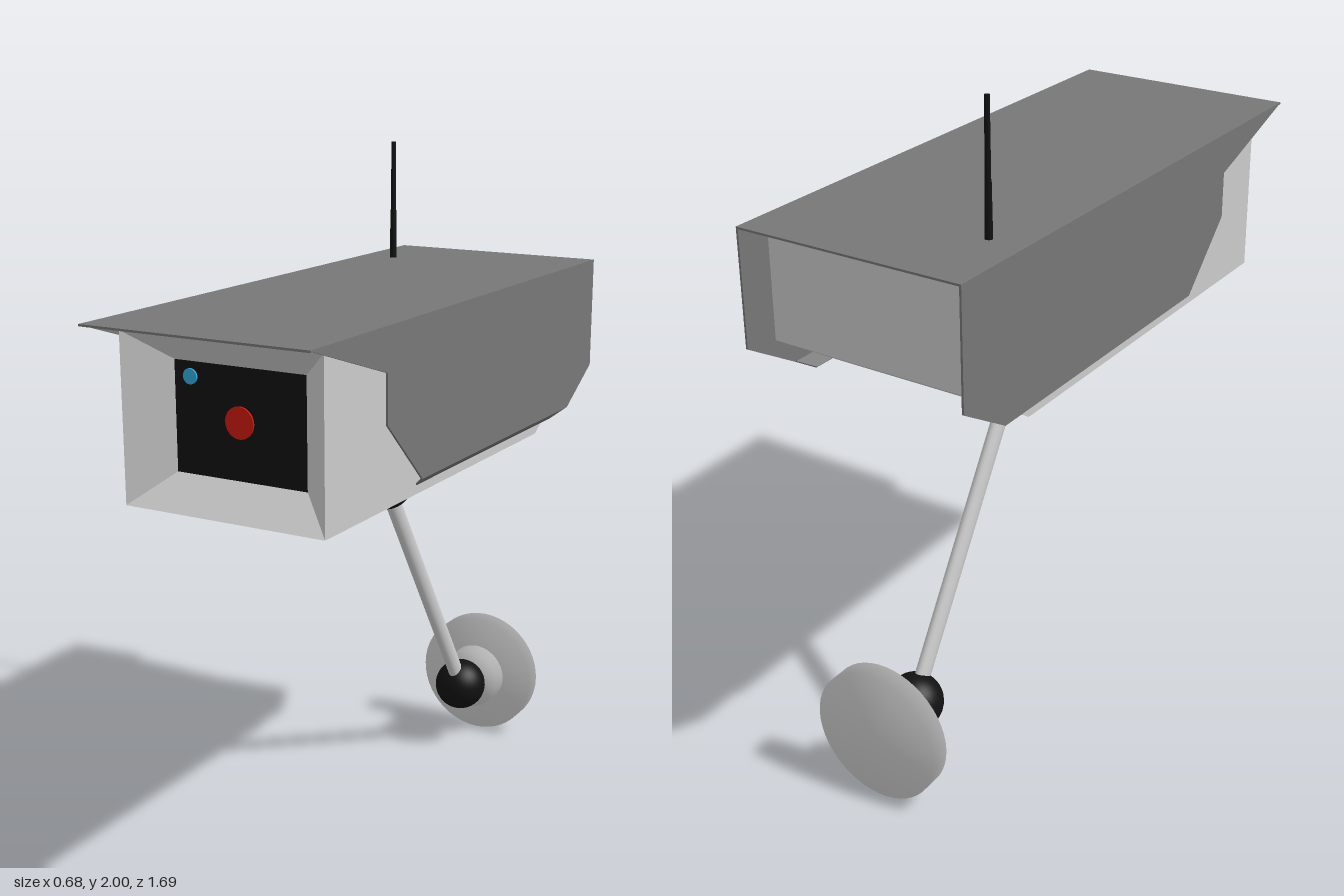
import * as THREE from 'three';

const mat = (color, side = THREE.FrontSide) => new THREE.MeshStandardMaterial({ color, side });

// Flat-shaded skin through four-cornered rings, closed at the last ring
function loft(rings) {
  const pos = [];
  const quad = (a, b, c, d) => [a, b, c, a, c, d].forEach((p) => pos.push(...p));
  for (let r = 0; r + 1 < rings.length; r++) {
    const a = rings[r], b = rings[r + 1];
    for (let i = 0; i < 4; i++) {
      const j = (i + 1) % 4;
      quad(a[i], b[i], b[j], a[j]);
    }
  }
  quad(...[...rings[rings.length - 1]].reverse());
  const g = new THREE.BufferGeometry();
  g.setAttribute('position', new THREE.Float32BufferAttribute(pos, 3));
  g.computeVertexNormals();
  return g;
}

// Upright rectangle, counter-clockwise from the front; bottom and top can differ in z
const rect = (w, y0, y1, z0, z1 = z0) => [[-w, y0, z0], [w, y0, z0], [w, y1, z1], [-w, y1, z1]];

export function createModel() {
  const group = new THREE.Group();
  const grey = mat(0xcccccc);
  const black = mat(0x111111);
  const hoodMat = mat(0x777777, THREE.DoubleSide);
  const add = (name, geometry, material, x = 0, y = 0, z = 0) => {
    const mesh = new THREE.Mesh(geometry, material);
    mesh.name = name;
    mesh.position.set(x, y, z);
    group.add(mesh);
    return mesh;
  };

  // Housing with a splayed front bezel and a sloped lower rear
  add('housing', loft([
    rect(0.2, 1.23, 1.53, 0.64),
    rect(0.305, 1.145, 1.61, 0.73),
    rect(0.305, 1.145, 1.61, -0.51),
    rect(0.305, 1.31, 1.61, -0.77),
  ]), grey);

  // Front glass, lens and indicator light
  add('frontPanel', new THREE.PlaneGeometry(0.4, 0.3), black, 0, 1.38, 0.64);
  const disc = (r) => new THREE.CylinderGeometry(r, r, 0.006, 32).rotateX(Math.PI / 2);
  add('lens', disc(0.043), mat(0xcc1a10), 0, 1.385, 0.642);
  add('indicatorLight', disc(0.021), mat(0x2fa8dc), -0.15, 1.49, 0.642);

  // Sun hood: thin roof, two cut side plates and inward lower lips
  add('hoodTop', new THREE.BoxGeometry(0.68, 0.006, 1.69), hoodMat, 0, 1.637, 0);
  const outline = [[0.845, 1.638], [0.48, 1.52], [0.48, 1.385], [0.29, 1.2],
    [-0.67, 1.2], [-0.845, 1.305], [-0.845, 1.638]];
  const side = new THREE.ExtrudeGeometry(
    new THREE.Shape(outline.map((p) => new THREE.Vector2(...p))),
    { depth: 0.006, bevelEnabled: false },
  ).rotateY(-Math.PI / 2);
  for (const s of [1, -1]) {
    add('hoodSide', side, hoodMat, s > 0 ? 0.34 : -0.334);
    const t = 0.003;
    const lip = (x, y, z0, z1) => [[s * x, y, z0], [s * x, y, z1], [s * (x - t), y + t, z1], [s * (x - t), y + t, z0]];
    add('hoodLip', loft([lip(0.34, 1.2, 0.29, -0.67), lip(0.305, 1.17, 0.26, -0.62)]), hoodMat);
  }

  // Antenna: thicker base, thin tip
  add('antennaBase', new THREE.CylinderGeometry(0.009, 0.011, 0.16, 16), black, -0.232, 1.71, -0.575);
  add('antennaTip', new THREE.CylinderGeometry(0.007, 0.008, 0.22, 16), black, -0.232, 1.89, -0.575);

  // Swivel joints
  const top = new THREE.Vector3(0, 1.045, -0.115);
  const low = new THREE.Vector3(0, 0.205, -0.64);
  add('upperNeck', new THREE.CylinderGeometry(0.07, 0.045, 0.06, 32), grey, 0, 1.118, top.z);
  const ball = new THREE.SphereGeometry(0.083, 32, 24);
  add('upperBall', ball, black, ...top);
  add('lowerBall', ball, black, ...low);

  // Oval arm between the joints
  const dir = top.clone().sub(low);
  const arm = add('arm', new THREE.CylinderGeometry(1, 1, dir.length() - 0.09, 24).scale(0.02, 1, 0.029),
    grey, ...top.clone().add(low).multiplyScalar(0.5));
  arm.rotation.x = Math.atan2(dir.z, dir.y);

  // Wall mount: collar and round plate with softly shaded faces
  const plate = (r, z0, z1) => new THREE.LatheGeometry(
    [[0, z0], [r, z0], [r, z1], [0, z1]].map((p) => new THREE.Vector2(...p)), 48,
  ).rotateX(-Math.PI / 2);
  add('mountCollar', plate(0.1, 0.705, 0.77), grey, 0, 0.2, 0);
  add('mountPlate', plate(0.198, 0.763, 0.822), grey, 0, 0.2, 0);

  return group;
}
